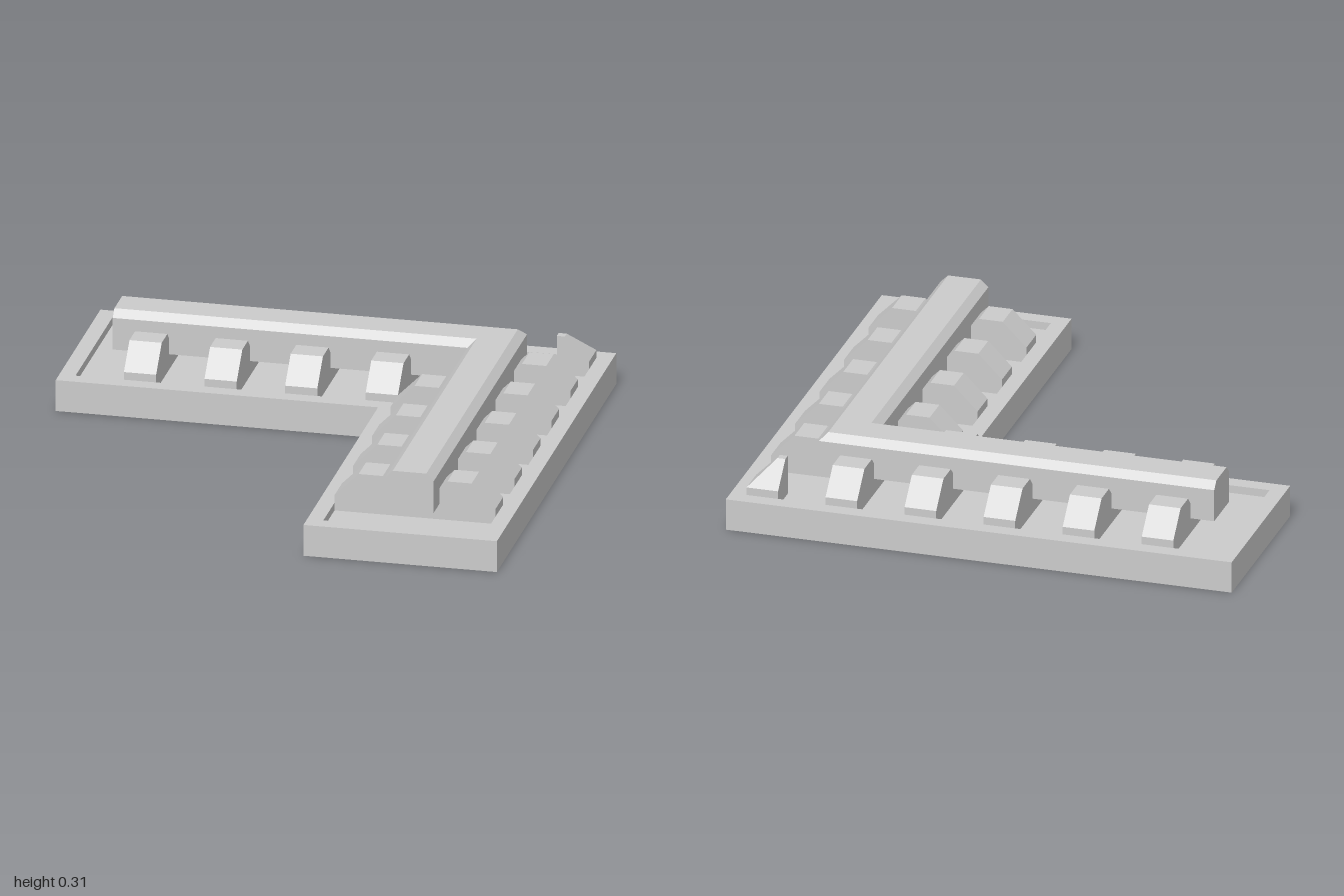
import * as THREE from 'three';

const RIM = 0.125, FLOOR = 0.094, INSET = 0.0625;
const material = new THREE.MeshStandardMaterial({ color: 0xcccccc, flatShading: true });

// Mesh from a list of quads, each four [x, y, z] corners
function quadMesh(name, quads, flip = false) {
  const pos = [];
  for (const [a, b, c, d] of quads) {
    const order = flip ? [a, c, b, a, d, c] : [a, b, c, a, c, d];
    for (const p of order) pos.push(...p);
  }
  const geo = new THREE.BufferGeometry();
  geo.setAttribute('position', new THREE.Float32BufferAttribute(pos, 3));
  geo.computeVertexNormals();
  const mesh = new THREE.Mesh(geo, material);
  mesh.name = name;
  return mesh;
}

// L-shaped outline in plan, shrunk inwards by d
function corner(d) {
  const o = 1 - d, i = 0.25 + d;
  return [[-o, i], [i, i], [i, -o], [o, -o], [o, o], [-o, o]].map(([x, y]) => new THREE.Vector2(x, y));
}

function slab(name, outline, hole, y0, y1) {
  const shape = new THREE.Shape(outline);
  if (hole) shape.holes.push(new THREE.Path(hole));
  const geo = new THREE.ExtrudeGeometry(shape, { depth: y1 - y0, bevelEnabled: false });
  geo.rotateX(-Math.PI / 2).translate(0, y0, 0);
  const mesh = new THREE.Mesh(geo, material);
  mesh.name = name;
  return mesh;
}

// Sleeper profile: two chamfered humps with a seat for the rail, [across, height]
const PROFILE = [
  [0.3125, 0.156], [0.406, 0.25], [0.5, 0.25], [0.594, 0.156], [0.625, 0.156],
  [0.656, 0.156], [0.75, 0.25], [0.8125, 0.25], [0.844, 0.25], [0.9375, 0.156],
];

// Sleeper at start a along an arm, cut by the mitre where the arms meet
function sleeper(a, alongZ) {
  const width = 0.125;
  const place = (t, y, s) => (alongZ ? [s, y, -t] : [t, y, -s]);
  const cols = PROFILE.filter(([s]) => s >= a - 1e-6).map(([s, y]) => {
    const b = Math.min(a + width, s);
    return [place(a, FLOOR, s), place(a, y, s), place(b, y, s), place(b, FLOOR, s)];
  });
  const quads = [];
  for (let i = 0; i + 1 < cols.length; i++) {
    const p = cols[i], q = cols[i + 1];
    for (let k = 0; k < 3; k++) quads.push([p[k], p[k + 1], q[k + 1], q[k]]);
  }
  const f = cols[0], l = cols[cols.length - 1];
  quads.push([f[0], f[3], f[2], f[1]], [l[0], l[1], l[2], l[3]]);
  return quadMesh('sleeper', quads, alongZ);
}

// Chamfered rail following both arms with a mitred corner
function rail() {
  const section = [
    [0.531, 0.156], [0.531, 0.284], [0.56, 0.3125],
    [0.69, 0.3125], [0.719, 0.284], [0.719, 0.156],
  ];
  const END = 0.844, n = section.length;
  const rings = [
    section.map(([s, y]) => [-END, y, -s]),
    section.map(([s, y]) => [s, y, -s]),
    section.map(([s, y]) => [s, y, END]),
  ];
  const quads = [];
  for (let r = 0; r < 2; r++) {
    for (let i = 0; i < n; i++) {
      const j = (i + 1) % n;
      quads.push([rings[r][i], rings[r + 1][i], rings[r + 1][j], rings[r][j]]);
    }
  }
  // End caps, each from two quads
  const [s, , e] = rings;
  quads.push([s[0], s[1], s[4], s[5]], [s[1], s[2], s[3], s[4]]);
  quads.push([e[0], e[5], e[4], e[1]], [e[1], e[4], e[3], e[2]]);
  return quadMesh('rail', quads);
}

export function createModel() {
  const model = new THREE.Group();
  model.name = 'cornerTrack';

  // Tray: floor plate with a raised rim
  model.add(slab('floorPlate', corner(0), null, 0, FLOOR));
  model.add(slab('rim', corner(0), corner(INSET), FLOOR, RIM));

  // Sleepers along both arms
  const sleepers = new THREE.Group();
  sleepers.name = 'sleepers';
  for (const alongZ of [false, true]) {
    for (let i = 0; i < 6; i++) sleepers.add(sleeper(-0.75 + i * 0.3125, alongZ));
  }
  model.add(sleepers, rail());
  return model;
}
